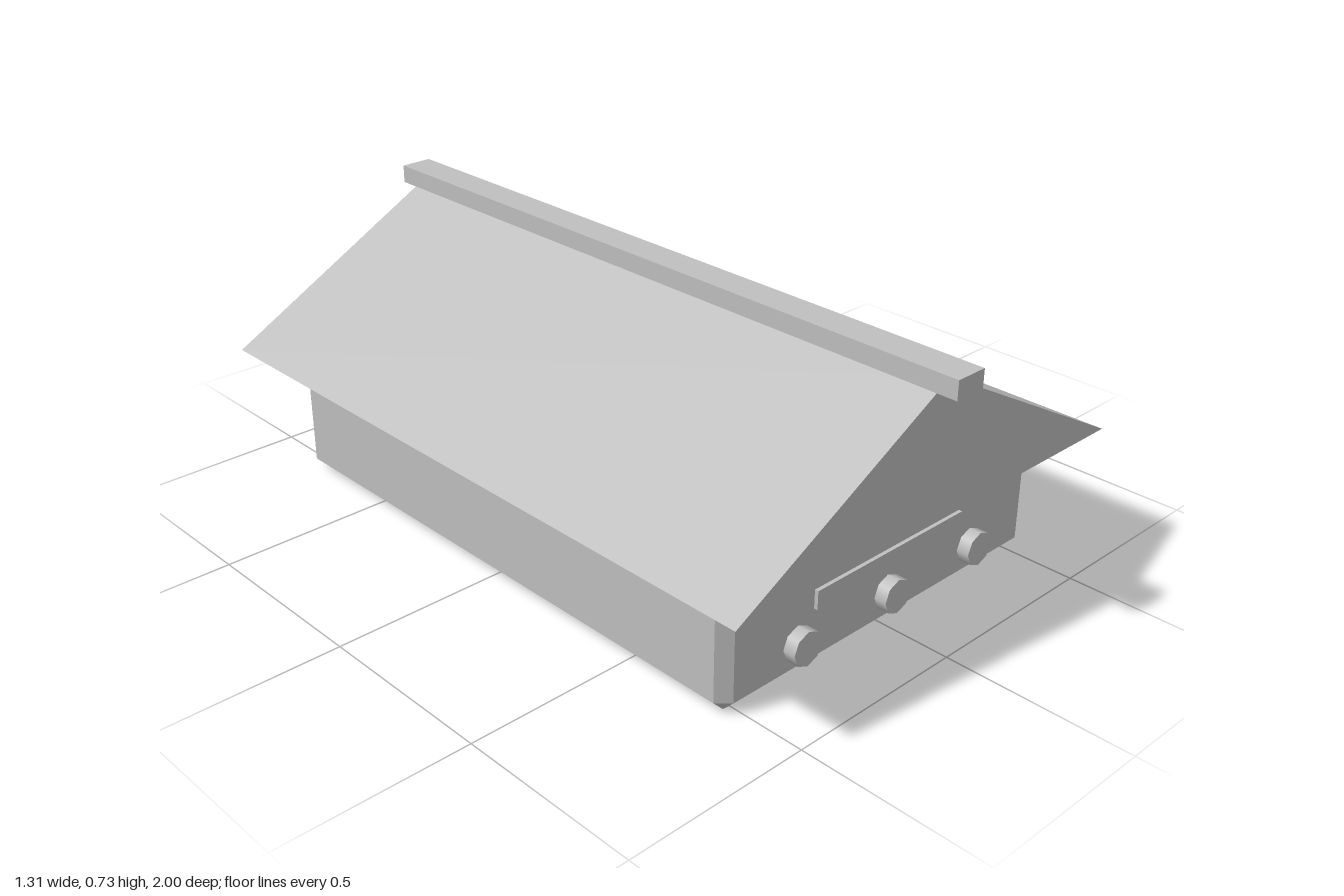
import * as THREE from 'three';
import { ConvexGeometry } from 'three/addons/geometries/ConvexGeometry.js';

// Box with every edge cut at 45 degrees, centred on the origin
function chamferedBox(w, h, d, c) {
  const points = [];
  for (const sx of [-1, 1]) for (const sy of [-1, 1]) for (const sz of [-1, 1]) {
    const x = w / 2, y = h / 2, z = d / 2;
    points.push(
      new THREE.Vector3(sx * x, sy * (y - c), sz * (z - c)),
      new THREE.Vector3(sx * (x - c), sy * y, sz * (z - c)),
      new THREE.Vector3(sx * (x - c), sy * (y - c), sz * z)
    );
  }
  return new ConvexGeometry(points);
}

export function createModel() {
  const model = new THREE.Group();
  model.name = 'gabledBox';
  const grey = new THREE.MeshStandardMaterial({ color: 0xbfbfbf });
  grey.name = 'plain grey';

  function add(name, geometry, x, y, z, parent = model) {
    const mesh = new THREE.Mesh(geometry, grey);
    mesh.name = name;
    mesh.position.set(x, y, z);
    parent.add(mesh);
    return mesh;
  }

  // Chamfered body
  add('body', chamferedBox(1.1, 0.345, 1.63, 0.031), 0, 0.1725, 0);

  // Gabled roof prism, overhanging on all sides
  const gable = new THREE.Shape();
  gable.moveTo(-0.656, 0);
  gable.lineTo(0.656, 0);
  gable.lineTo(0, 0.354);
  gable.closePath();
  const roof = new THREE.ExtrudeGeometry(gable, { depth: 1.89, bevelEnabled: false });
  add('roof', roof, 0, 0.345, -0.945);

  // Ridge beam
  add('ridgeBeam', new THREE.BoxGeometry(0.09, 0.05, 2), 0, 0.7, 0);

  // Raised bar and three round knobs on each end
  const bar = new THREE.BoxGeometry(0.524, 0.05, 0.04);
  const knob = new THREE.CylinderGeometry(0.046, 0.046, 0.06, 8).rotateX(Math.PI / 2);
  for (const side of [1, -1]) {
    const end = new THREE.Group();
    end.name = side > 0 ? 'frontFittings' : 'backFittings';
    end.rotation.y = side > 0 ? 0 : Math.PI;
    add('bar', bar, 0, 0.188, 0.805, end);
    for (const x of [-0.315, 0, 0.315]) add('knob', knob, x, 0.095, 0.819, end);
    model.add(end);
  }

  return model;
}
